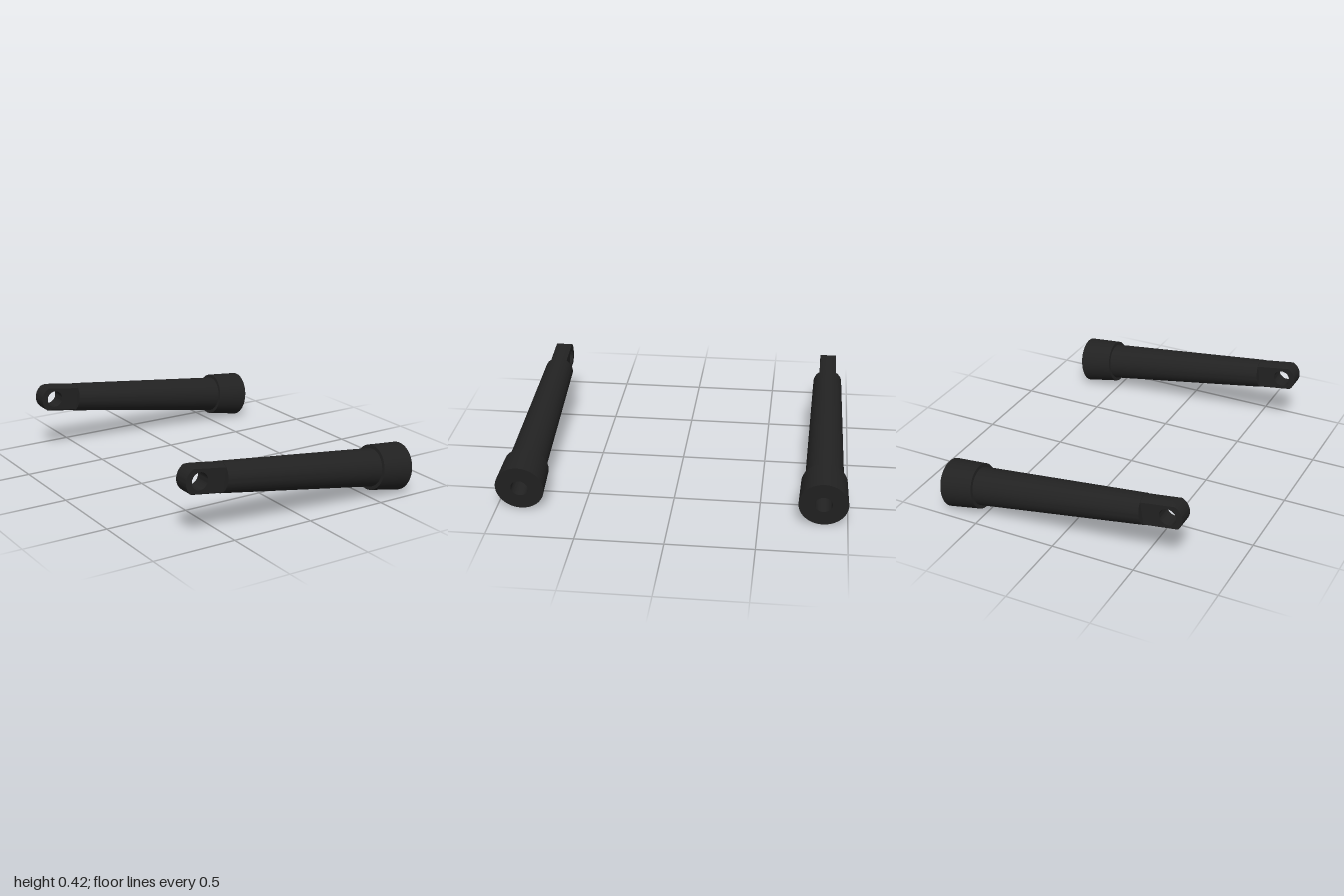
import * as THREE from 'three';
import { toCreasedNormals } from 'three/addons/utils/BufferGeometryUtils.js';

const EYE_R = 0.085, HALF = 0.05;
const SHAFT_START = 0.154, SHAFT_END = 1.195, END = 1.396;

// Turned shaft with collar and blind bore, along local +x
function barrelGeometry() {
  const profile = [
    [0, SHAFT_START], [0.087, SHAFT_START], [0.111, SHAFT_END], [0.131, SHAFT_END],
    [0.14, END], [0.05, END], [0.05, END - 0.2], [0, END - 0.2],
  ].map(([r, y]) => new THREE.Vector2(r, y));
  const geo = new THREE.LatheGeometry(profile, 64);
  geo.rotateZ(-Math.PI / 2);
  return toCreasedNormals(geo, 0.5);
}

// Flat lug with a round end and pin hole; its top and bottom follow the shaft's roundness
function lugGeometry() {
  const s = new THREE.Shape();
  s.moveTo(SHAFT_START + 0.02, EYE_R);
  s.lineTo(0, EYE_R);
  s.absarc(0, 0, EYE_R, Math.PI / 2, Math.PI * 1.5, false);
  s.lineTo(SHAFT_START + 0.02, -EYE_R);
  s.closePath();
  const hole = new THREE.Path();
  hole.absarc(0, 0, 0.05, 0, Math.PI * 2, true);
  s.holes.push(hole);
  const geo = new THREE.ExtrudeGeometry(s, { depth: HALF * 2, steps: 10, bevelEnabled: false, curveSegments: 32 });
  geo.translate(0, 0, -HALF);
  const p = geo.attributes.position;
  for (let i = 0; i < p.count; i++) {
    const limit = Math.sqrt(EYE_R ** 2 - p.getZ(i) ** 2);
    p.setY(i, THREE.MathUtils.clamp(p.getY(i), -limit, limit));
  }
  return toCreasedNormals(geo, 0.5);
}

export function createModel() {
  const model = new THREE.Group();
  const material = new THREE.MeshStandardMaterial({ color: 0x222222 });
  const barrel = barrelGeometry(), lug = lugGeometry();

  // One sloping arm on each side
  for (const side of [1, -1]) {
    const arm = new THREE.Group();
    arm.name = side > 0 ? 'frontArm' : 'backArm';
    for (const [name, geo] of [['shaftAndCollar', barrel], ['eyeLug', lug]]) {
      const mesh = new THREE.Mesh(geo, material);
      mesh.name = name;
      arm.add(mesh);
    }
    arm.position.set(-0.66, 0.34, side * 0.86);
    arm.rotation.z = -0.144;
    model.add(arm);
  }
  return model;
}
